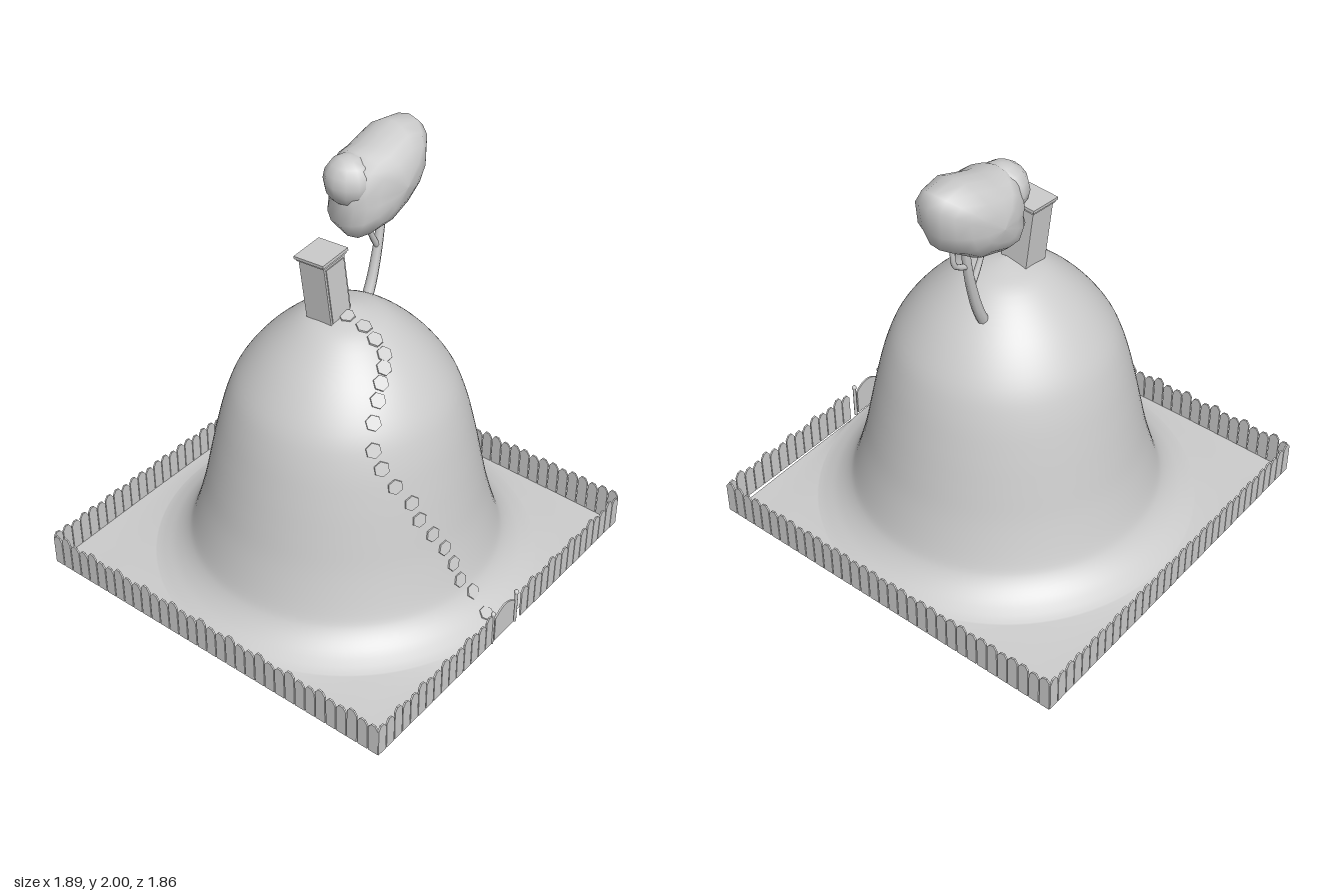
import * as THREE from 'three';

const V3 = (x, y, z) => new THREE.Vector3(x, y, z);
const CX = 0.02, CZ = -0.01; // hill axis
// hill profile: radius, height
const PROFILE = new THREE.SplineCurve([
  [0, 1.345], [0.1, 1.325], [0.21, 1.28], [0.36, 1.15], [0.475, 1.0], [0.535, 0.86], [0.58, 0.69],
  [0.615, 0.53], [0.65, 0.37], [0.7, 0.2], [0.735, 0.13], [0.79, 0.075], [0.85, 0.04], [0.89, 0.024],
].map(p => new THREE.Vector2(...p))).getPoints(52);

function material(extra = {}) {
  return new THREE.MeshStandardMaterial({ color: 0xcccccc, ...extra });
}

function add(parent, name, geometry, mat, x = 0, y = 0, z = 0) {
  const mesh = new THREE.Mesh(geometry, mat);
  mesh.name = name;
  mesh.position.set(x, y, z);
  parent.add(mesh);
  return mesh;
}

// Indexed surface from equal-length closed rings of points
function loft(rings) {
  const n = rings[0].length, pos = [], index = [];
  rings.forEach(r => r.forEach(p => pos.push(p.x, p.y, p.z)));
  for (let i = 0; i < rings.length - 1; i++)
    for (let j = 0; j < n; j++) {
      const a = i * n + j, b = i * n + (j + 1) % n;
      index.push(a, b, a + n, b, b + n, a + n);
    }
  const g = new THREE.BufferGeometry();
  g.setAttribute('position', new THREE.Float32BufferAttribute(pos, 3));
  g.setIndex(index);
  g.computeVertexNormals();
  return g;
}

// Round hill whose skirt spreads out to the square plot, sinking to its corners
function hillGeometry() {
  const N = 96;
  const ring = f => Array.from({ length: N }, (_, j) => f(-j / N * Math.PI * 2));
  const circle = (a, r, y) => V3(CX + r * Math.cos(a), y, CZ + r * Math.sin(a));
  const rings = PROFILE.map(p => ring(a => circle(a, Math.max(p.x, 0.0005), p.y)));
  const last = PROFILE[PROFILE.length - 1];
  for (const t of [0.33, 0.67, 1])
    rings.push(ring(a => {
      const c = Math.cos(a), s = Math.sin(a), k = 1 / Math.max(Math.abs(c), Math.abs(s));
      const edge = V3(-0.02 + 0.93 * c * k, 0.015 * (Math.SQRT2 - k) / (Math.SQRT2 - 1), -0.005 + 0.925 * s * k);
      const p = circle(a, last.x, last.y).lerp(edge, t);
      p.y = edge.y + (last.y - edge.y) * (1 - t) ** 2;
      return p;
    }));
  return loft(rings.reverse());
}

// Tube that narrows from r0 to r1
function branchGeometry(points, r0, r1) {
  const curve = new THREE.CatmullRomCurve3(points.map(p => V3(...p)));
  const seg = 12, sides = 8, g = new THREE.TubeGeometry(curve, seg, r0, sides);
  const pos = g.attributes.position, v = V3(0, 0, 0);
  for (let i = 0; i < pos.count; i++) {
    const t = Math.floor(i / (sides + 1)) / seg, c = curve.getPointAt(t);
    v.fromBufferAttribute(pos, i).sub(c).multiplyScalar(1 + (r1 / r0 - 1) * t).add(c);
    pos.setXYZ(i, v.x, v.y, v.z);
  }
  return g;
}

// Lumpy crown: a side outline (z, y) swelling across x
function crownGeometry() {
  const outline = [[-0.1, 1.79], [-0.15, 1.91], [-0.21, 1.945], [-0.3, 1.95], [-0.45, 2.0], [-0.57, 1.985],
    [-0.61, 1.94], [-0.6, 1.82], [-0.55, 1.72], [-0.42, 1.63], [-0.25, 1.57], [-0.15, 1.575],
    [-0.095, 1.65], [-0.115, 1.73]];
  const rings = [];
  for (let i = 0; i <= 10; i++) {
    const u = i / 10 * Math.PI, s = Math.max(Math.pow(Math.sin(u), 0.85), 0.001);
    rings.push(outline.map(([z, y], j) => {
      const w = s * (1 + 0.05 * Math.sin(u) * Math.sin(j * 2.4 + i * 1.7) * Math.abs(Math.cos(u)));
      return V3(-0.085 + 0.168 * Math.cos(u), 1.78 + (y - 1.78) * w, -0.35 + (z + 0.35) * w);
    }));
  }
  return loft(rings);
}

// Fence board with a clipped, pointed top
function picketGeometry(w, h) {
  const s = new THREE.Shape();
  s.moveTo(-w / 2, 0);
  s.lineTo(w / 2, 0);
  s.lineTo(w / 2, h - 0.025);
  s.lineTo(w / 5, h - 0.003);
  s.lineTo(-w / 5, h);
  s.lineTo(-w / 2, h - 0.022);
  return new THREE.ExtrudeGeometry(s, { depth: 0.008, bevelEnabled: false }).translate(0, 0, -0.004);
}

export function createModel() {
  const model = new THREE.Group();
  const smooth = material(), flat = material({ flatShading: true });
  add(model, 'hill', hillGeometry(), material({ side: THREE.DoubleSide }));

  // Picket fence on four sides, leaving an opening for the gate
  const fence = new THREE.Group();
  fence.name = 'fence';
  model.add(fence);
  const count = 34;
  const pickets = [0.158, 0.167, 0.176].map(h => picketGeometry(0.05, h));
  for (let i = 0; i < count; i++) {
    const t = (i + 0.5) / count, x = -0.95 + 1.885 * t, z = -0.93 + 1.86 * t;
    const board = (k, px, pz, turn) => {
      add(fence, 'picket', pickets[(i * i + k * 2 + i) % 3], flat, px, 0, pz).rotation.y = turn;
    };
    board(0, x, 0.925, 0);
    board(1, x, -0.93, 0);
    board(2, -0.946, z, Math.PI / 2);
    if (z < -0.085 || z > 0.125) board(3, 0.932, z, Math.PI / 2);
  }

  // Arched gate between two posts with round tops
  const gate = new THREE.Group();
  gate.name = 'gate';
  gate.position.set(0.932, 0, 0.02);
  gate.rotation.y = Math.PI / 2;
  model.add(gate);
  const arch = new THREE.Shape();
  arch.moveTo(-0.075, 0.005);
  arch.lineTo(0.075, 0.005);
  arch.lineTo(0.075, 0.135);
  arch.quadraticCurveTo(0, 0.205, -0.075, 0.135);
  add(gate, 'gateDoor', new THREE.ExtrudeGeometry(arch, { depth: 0.008, bevelEnabled: false }), flat, 0, 0, -0.004);
  for (const s of [-1, 1]) {
    add(gate, 'gatePost', new THREE.CylinderGeometry(0.008, 0.008, 0.165, 8), smooth, s * 0.09, 0.0825, 0);
    add(gate, 'postKnob', new THREE.SphereGeometry(0.012, 10, 8), smooth, s * 0.09, 0.172, 0);
  }

  // Leaning hut with a flat two-step roof and a door facing the path
  const hut = new THREE.Group();
  hut.name = 'hut';
  hut.position.set(-0.03, 1.46, 0.07);
  hut.rotation.set(0.08, 0, 0.07);
  model.add(hut);
  add(hut, 'hutBody', new THREE.BoxGeometry(0.135, 0.29, 0.135), flat);
  add(hut, 'hutDoor', new THREE.BoxGeometry(0.008, 0.265, 0.115), flat, 0.068, -0.006, 0);
  add(hut, 'eaves', new THREE.BoxGeometry(0.148, 0.012, 0.15), flat, 0, 0.146, 0);
  add(hut, 'roof', new THREE.BoxGeometry(0.158, 0.014, 0.165), flat, 0, 0.158, 0);

  // Tree
  const tree = new THREE.Group();
  tree.name = 'tree';
  model.add(tree);
  add(tree, 'trunk', branchGeometry([[-0.07, 1.18, -0.26], [-0.075, 1.28, -0.31], [-0.08, 1.42, -0.355],
    [-0.085, 1.55, -0.385], [-0.085, 1.7, -0.4]], 0.027, 0.017), smooth);
  add(tree, 'branch', branchGeometry([[-0.08, 1.43, -0.355], [-0.08, 1.48, -0.325], [-0.08, 1.54, -0.295],
    [-0.08, 1.63, -0.27]], 0.015, 0.011), smooth);
  add(tree, 'branch', branchGeometry([[-0.085, 1.55, -0.385], [-0.085, 1.57, -0.43], [-0.085, 1.6, -0.465],
    [-0.085, 1.7, -0.475]], 0.014, 0.01), smooth);
  add(tree, 'crown', crownGeometry(), smooth);
  add(tree, 'crownLobe', new THREE.SphereGeometry(1, 12, 8), smooth, -0.1, 1.83, -0.18).scale.set(0.115, 0.115, 0.11);

  // Hexagonal stepping stones winding down the hill: height, z
  const path = new THREE.Group();
  path.name = 'path';
  model.add(path);
  const stone = new THREE.CylinderGeometry(0.035, 0.037, 0.012, 6);
  [[1.332, 0.045], [1.312, 0.04], [1.28, 0.05], [1.235, 0.06], [1.2, 0.1], [1.16, 0.15], [1.11, 0.2], [1.04, 0.26],
    [0.94, 0.305], [0.86, 0.3], [0.77, 0.27], [0.675, 0.22], [0.585, 0.2], [0.49, 0.15], [0.395, 0.1],
    [0.3, 0.07], [0.21, 0.055], [0.13, 0.01], [0.055, 0.02]].forEach(([y, z]) => {
    const k = Math.max(1, PROFILE.findIndex(p => p.y <= y)), a = PROFILE[k - 1], b = PROFILE[k];
    const r = a.x + (b.x - a.x) * (a.y - y) / (a.y - b.y);
    const dz = z - CZ, dx = Math.sqrt(Math.max(r * r - dz * dz, 0.0005));
    const n = V3(dx / r * (a.y - b.y), b.x - a.x, dz / r * (a.y - b.y)).normalize();
    add(path, 'steppingStone', stone, flat, CX + dx, y, z).quaternion.setFromUnitVectors(V3(0, 1, 0), n);
  });
  return model;
}
